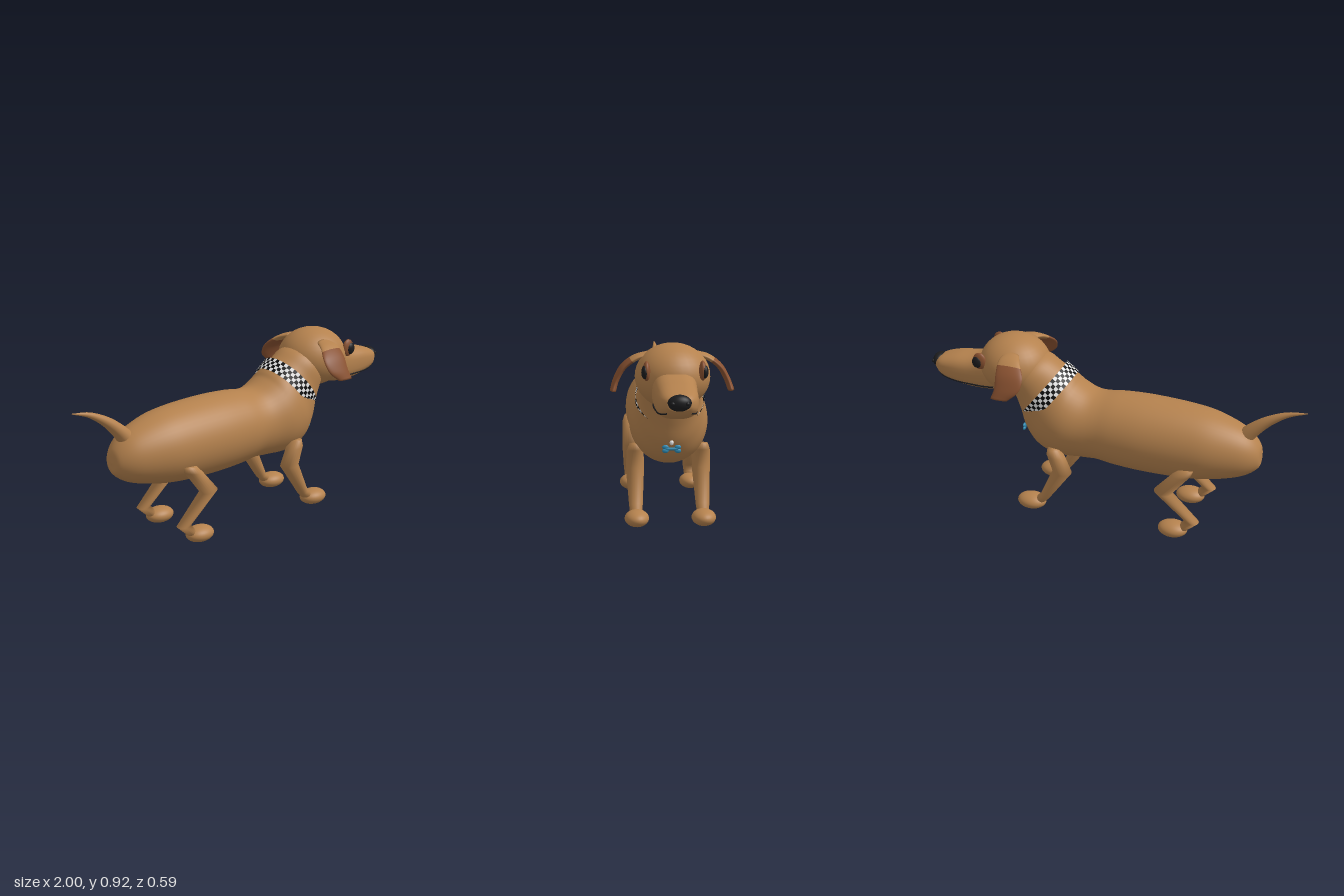
import * as THREE from 'three';

const mat = (name, color, side = THREE.FrontSide) => {
  const m = new THREE.MeshStandardMaterial({ color, side });
  m.name = name;
  return m;
};

// Smooth skin through sections [edge A, edge B, half-thickness vector C].
// p > 2 squares the section off; split (0..1) starts a second material group.
function loft(sections, { sub = 6, p = 2, split = 1, n = 32 } = {}) {
  const curves = [0, 1, 2].map(k =>
    new THREE.CatmullRomCurve3(sections.map(s => s[k]), false, 'catmullrom', 0.5));
  const rows = (sections.length - 1) * sub;
  const pos = [], idx = [];
  const pow = v => Math.sign(v) * Math.pow(Math.abs(v), 2 / p);
  for (let i = 0; i <= rows; i++) {
    const [a, b, c] = curves.map(k => k.getPoint(i / rows));
    const mid = a.clone().add(b).multiplyScalar(0.5);
    const half = a.clone().sub(mid);
    for (let j = 0; j < n; j++) {
      const t = (j / n) * Math.PI * 2;
      const v = mid.clone().addScaledVector(half, pow(Math.cos(t))).addScaledVector(c, pow(Math.sin(t)));
      pos.push(v.x, v.y, v.z);
    }
  }
  const first = (rows + 1) * n, last = first + 1;
  for (const k of [0, rows]) {
    const a = curves[0].getPoint(k / rows), b = curves[1].getPoint(k / rows);
    pos.push(...a.add(b).multiplyScalar(0.5).toArray());
  }
  for (let j = 0; j < n; j++) idx.push(first, j, (j + 1) % n);
  for (let i = 0; i < rows; i++) for (let j = 0; j < n; j++) {
    const a = i * n + j, b = i * n + (j + 1) % n;
    idx.push(a, a + n, b, b, a + n, b + n);
  }
  for (let j = 0; j < n; j++) idx.push(last, rows * n + (j + 1) % n, rows * n + j);

  // Turn the faces outward whichever way the sections run
  let volume = 0;
  const P = i => new THREE.Vector3().fromArray(pos, i * 3).sub(sections[0][0]);
  for (let i = 0; i < idx.length; i += 3) volume += P(idx[i]).dot(P(idx[i + 1]).cross(P(idx[i + 2])));
  if (volume < 0) for (let i = 0; i < idx.length; i += 3) [idx[i], idx[i + 1]] = [idx[i + 1], idx[i]];

  const g = new THREE.BufferGeometry();
  g.setAttribute('position', new THREE.Float32BufferAttribute(pos, 3));
  g.setIndex(idx);
  g.computeVertexNormals();
  if (split < 1) {
    const cut = n * 3 + Math.round(rows * split) * n * 6;
    g.addGroup(0, cut, 0);
    g.addGroup(cut, idx.length - cut, 1);
  }
  return g;
}

// Sections in the side plane: [topX, topY, bottomX, bottomY, halfWidth]
const sideSections = (list, z = 0) => list.map(([ax, ay, bx, by, w]) =>
  [new THREE.Vector3(ax, ay, z), new THREE.Vector3(bx, by, z), new THREE.Vector3(0, 0, w)]);

export function createModel() {
  const dog = new THREE.Group();
  dog.name = 'dog';
  const tan = mat('tanCoat', 0xb5824e);
  const brown = mat('earBrown', 0x8a5231);
  const black = mat('black', 0x1c1c1e);
  const collarBlack = mat('collarBlack', 0x0c0c0c, THREE.DoubleSide);
  const collarWhite = mat('collarWhite', 0xe6e6e6, THREE.DoubleSide);
  const blue = mat('tagBlue', 0x2f8ab2);

  const add = (name, geometry, material) => {
    const m = new THREE.Mesh(geometry, material);
    m.name = name;
    dog.add(m);
    return m;
  };
  const ball = (name, material, [x, y, z], [rx, ry, rz]) => {
    const m = add(name, new THREE.SphereGeometry(1, 32, 20), material);
    m.position.set(x, y, z);
    m.scale.set(rx, ry, rz);
    return m;
  };

  // Barrel, chest and neck in one skin
  add('body', loft(sideSections([
    [-0.79, 0.465, -0.79, 0.455, 0.005], [-0.775, 0.53, -0.78, 0.40, 0.06],
    [-0.70, 0.60, -0.70, 0.345, 0.12], [-0.55, 0.655, -0.55, 0.305, 0.17],
    [-0.40, 0.677, -0.40, 0.287, 0.188], [-0.20, 0.685, -0.20, 0.283, 0.196],
    [-0.05, 0.68, -0.05, 0.29, 0.19], [0.05, 0.668, 0.05, 0.302, 0.181],
    [0.11, 0.675, 0.14, 0.297, 0.183], [0.17, 0.705, 0.28, 0.293, 0.195],
    [0.20, 0.733, 0.39, 0.335, 0.188], [0.24, 0.762, 0.46, 0.42, 0.165],
    [0.29, 0.795, 0.49, 0.52, 0.15], [0.35, 0.83, 0.52, 0.61, 0.145],
    [0.43, 0.85, 0.56, 0.66, 0.12],
  ]), { n: 48 }), tan);

  // Tail
  add('tail', loft(sideSections([
    [-0.66, 0.585, -0.73, 0.53, 0.045], [-0.72, 0.64, -0.77, 0.59, 0.038],
    [-0.80, 0.695, -0.83, 0.655, 0.027], [-0.90, 0.738, -0.91, 0.713, 0.014],
    [-1.0, 0.752, -1.0, 0.748, 0.002],
  ]), { n: 20 }), tan);

  // Head, muzzle and nose
  ball('head', tan, [0.53, 0.767, 0], [0.185, 0.156, 0.178]);
  add('muzzle', loft(sideSections([
    [0.54, 0.79, 0.52, 0.65, 0.10], [0.65, 0.815, 0.62, 0.613, 0.105],
    [0.75, 0.786, 0.74, 0.605, 0.1], [0.85, 0.772, 0.85, 0.618, 0.095],
    [0.93, 0.75, 0.93, 0.645, 0.08], [0.97, 0.73, 0.97, 0.675, 0.05],
  ]), { p: 2.7 }), tan);
  ball('nose', black, [0.965, 0.71, 0], [0.035, 0.037, 0.053]);

  // Two joined tubes-like limbs: shoulder or hip, knee, ankle, heel
  const limbs = {
    front: [[0.235, 0.388, 0.295, 0.39, 0.03], [0.205, 0.345, 0.30, 0.36, 0.042],
      [0.168, 0.255, 0.268, 0.265, 0.046], [0.295, 0.075, 0.34, 0.10, 0.034],
      [0.33, 0.04, 0.38, 0.06, 0.03]],
    hind: [[-0.485, 0.41, -0.41, 0.405, 0.03], [-0.475, 0.38, -0.375, 0.37, 0.042],
      [-0.375, 0.25, -0.285, 0.265, 0.046], [-0.525, 0.105, -0.455, 0.112, 0.034],
      [-0.46, 0.045, -0.43, 0.085, 0.03]],
  };

  for (const s of [1, -1]) {
    const side = s > 0 ? 'Left' : 'Right';
    for (const [end, rows] of Object.entries(limbs)) {
      add(`${end}${side}Leg`, loft(sideSections(rows, s * 0.166), { sub: 1, n: 24 }), tan);
      ball(`${end}${side}Foot`, tan, [end === 'front' ? 0.395 : -0.388, 0.042, s * 0.165], [0.078, 0.041, 0.06]);
    }

    // Drooping ear: rows [backX, frontX, y, z, normalY, normalZ]
    const ear = [
      [0.46, 0.54, 0.868, 0.11, 0.95, 0.3], [0.43, 0.548, 0.85, 0.17, 0.8, 0.6],
      [0.395, 0.54, 0.805, 0.228, 0.65, 0.75], [0.405, 0.535, 0.745, 0.263, 0.4, 0.9],
      [0.46, 0.55, 0.695, 0.28, 0.2, 0.98],
    ].map(([x0, x1, y, z, ny, nz]) => [new THREE.Vector3(x0, y, s * z), new THREE.Vector3(x1, y, s * z),
      new THREE.Vector3(0, ny, s * nz).multiplyScalar(0.015)]);
    add(`ear${side}`, loft(ear, { split: 0.34 }), [tan, brown]);

    // Eye with brown lid, nostril and mouth line
    ball(`eyelid${side}`, brown, [0.672, 0.81, s * 0.129], [0.036, 0.046, 0.017]);
    ball(`eye${side}`, black, [0.683, 0.806, s * 0.137], [0.027, 0.032, 0.017]);
    ball(`nostril${side}`, black, [0.992, 0.71, s * 0.032], [0.007, 0.009, 0.01]);
    const mouth = new THREE.CatmullRomCurve3([[0.62, 0.648, 0.096], [0.68, 0.644, 0.097], [0.75, 0.643, 0.093],
      [0.85, 0.645, 0.084], [0.92, 0.654, 0.069], [0.945, 0.66, 0.052]]
      .map(([x, y, z]) => new THREE.Vector3(x, y, s * z)));
    add(`mouth${side}`, new THREE.TubeGeometry(mouth, 24, 0.004, 6), black);
  }

  // Tilted chequered collar, one mesh per colour
  const squares = [[], []], cols = 56, rows = 4;
  const onCollar = (i, j) => {
    const t = (i / cols) * Math.PI * 2, d = (j / rows - 0.5) * 0.076, u = -0.18 * Math.cos(t);
    return [0.34 + 0.618 * u + 0.787 * d, 0.63 - 0.787 * u + 0.618 * d, 0.167 * Math.sin(t)];
  };
  for (let i = 0; i < cols; i++) for (let j = 0; j < rows; j++) {
    const [a, b, c, d] = [onCollar(i, j), onCollar(i + 1, j), onCollar(i + 1, j + 1), onCollar(i, j + 1)];
    squares[(i + j) % 2].push(...a, ...b, ...c, ...a, ...c, ...d);
  }
  squares.forEach((list, k) => {
    const g = new THREE.BufferGeometry();
    g.setAttribute('position', new THREE.Float32BufferAttribute(list, 3));
    g.computeVertexNormals();
    add(k ? 'collarWhiteSquares' : 'collarBlackSquares', g, k ? collarWhite : collarBlack);
  });

  // Bone-shaped tag hanging from a bead
  ball('tagBead', collarWhite, [0.482, 0.435, 0], [0.007, 0.012, 0.01]);
  const bar = add('tagBar', new THREE.CylinderGeometry(0.007, 0.007, 0.06, 16), blue);
  bar.rotation.x = Math.PI / 2;
  bar.position.set(0.482, 0.405, 0);
  for (const z of [-0.03, 0.03]) for (const y of [0.396, 0.414])
    ball('tagKnob', blue, [0.482, y, z], [0.007, 0.011, 0.016]);

  return dog;
}
